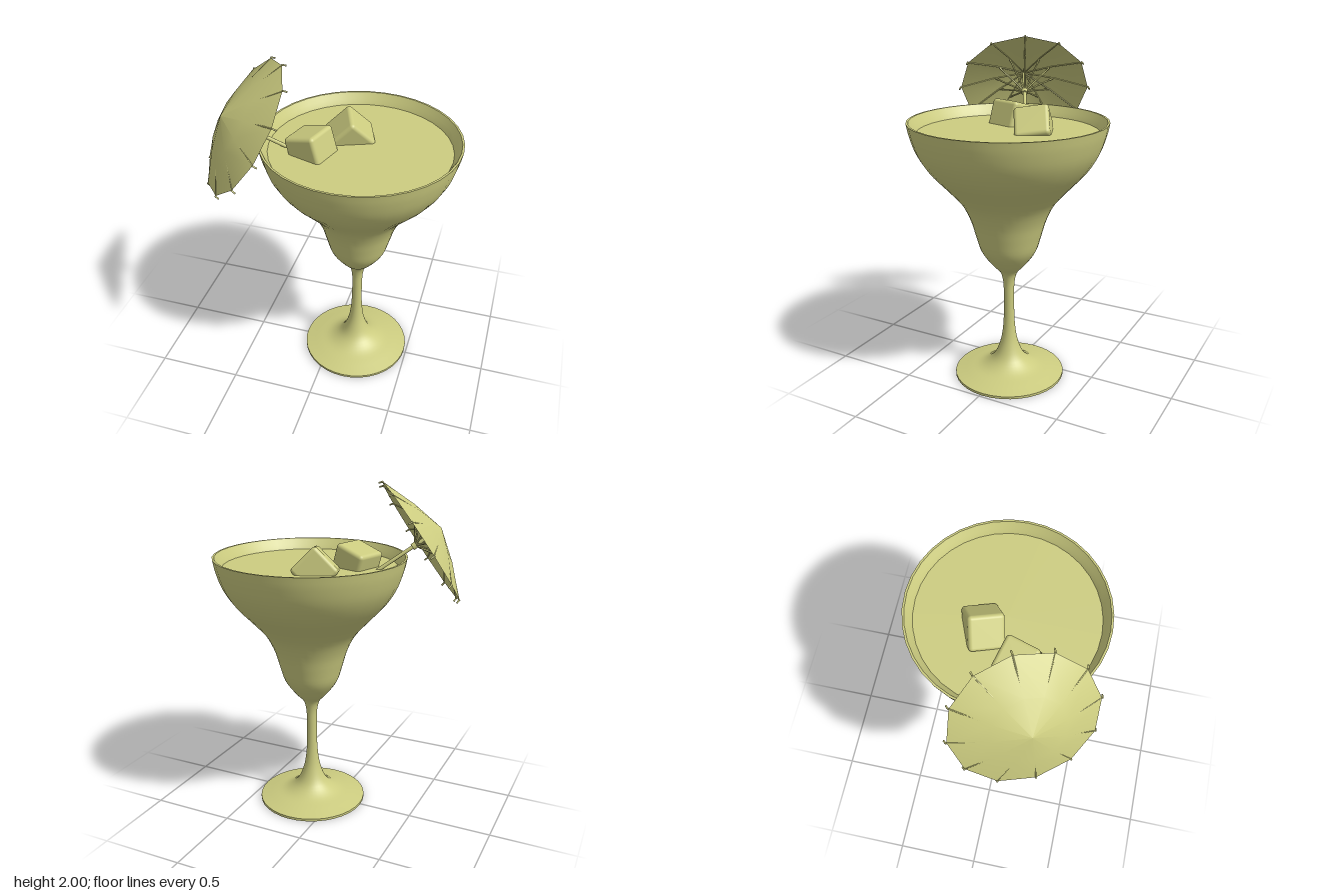
import * as THREE from 'three';
import { RoundedBoxGeometry } from 'three/addons/geometries/RoundedBoxGeometry.js';

const material = new THREE.MeshStandardMaterial({ color: 0xcccc80 });
const thinMaterial = new THREE.MeshStandardMaterial({ color: 0xcccc80, side: THREE.DoubleSide });
const V = (x, y, z) => new THREE.Vector3(x, y, z);

function add(parent, name, geometry, mat = material) {
  const mesh = new THREE.Mesh(geometry, mat);
  mesh.name = name;
  parent.add(mesh);
  return mesh;
}

// Round rod between two points
function rod(parent, name, a, b, radius, sides = 6) {
  const dir = b.clone().sub(a);
  const mesh = add(parent, name, new THREE.CylinderGeometry(radius, radius, dir.length(), sides));
  mesh.position.copy(a).add(b).multiplyScalar(0.5);
  mesh.quaternion.setFromUnitVectors(V(0, 1, 0), dir.normalize());
  return mesh;
}

function smoothLathe(pairs, steps, segments) {
  const curve = new THREE.CatmullRomCurve3(pairs.map(([r, y]) => V(r, y, 0)));
  const points = curve.getPoints(steps).map((p) => new THREE.Vector2(Math.max(p.x, 0), p.y));
  return new THREE.LatheGeometry(points, segments);
}

function buildGlass() {
  const glass = new THREE.Group();
  glass.name = 'glass';
  glass.position.set(0.157, 0, -0.015);

  // Foot, stem and stepped bowl
  add(glass, 'glassOuter', smoothLathe([
    [0.33, 0.015], [0.25, 0.035], [0.16, 0.06], [0.095, 0.11], [0.055, 0.2], [0.037, 0.3],
    [0.031, 0.42], [0.031, 0.52], [0.034, 0.6], [0.05, 0.66], [0.095, 0.71], [0.16, 0.8],
    [0.192, 0.9], [0.222, 1.0], [0.272, 1.1], [0.36, 1.2], [0.452, 1.3], [0.515, 1.4],
    [0.55, 1.5], [0.565, 1.57]], 72, 36));

  // Foot edge and underside
  add(glass, 'footEdge', new THREE.CylinderGeometry(0.33, 0.33, 0.015, 36)).position.y = 0.0075;

  // Rim and inner wall
  add(glass, 'rim', new THREE.RingGeometry(0.553, 0.565, 36).rotateX(-Math.PI / 2)).position.y = 1.57;
  add(glass, 'glassInner', smoothLathe([
    [0.553, 1.57], [0.512, 1.5], [0.475, 1.4], [0.41, 1.3], [0.31, 1.2], [0.22, 1.1],
    [0.17, 1.0], [0.14, 0.9], [0.1, 0.8], [0, 0.74]], 36, 36), thinMaterial);

  // Drink surface
  add(glass, 'drink', new THREE.CircleGeometry(0.515, 36).rotateX(-Math.PI / 2)).position.y = 1.505;
  return glass;
}

function buildUmbrella() {
  const umbrella = new THREE.Group();
  umbrella.name = 'umbrella';
  const ribs = 12, R = 0.4, H = 0.14;
  const profile = [[0, H], [0.2, 0.083], [R, 0]];

  // Canopy
  const canopy = new THREE.LatheGeometry(profile.map(([r, y]) => new THREE.Vector2(r, y)).reverse(), ribs);
  add(umbrella, 'canopy', canopy, thinMaterial);

  // Ribs with bent tips, and struts from the runner
  for (let i = 0; i < ribs; i++) {
    const a = (i / ribs) * Math.PI * 2;
    const at = (r, y) => V(r * Math.sin(a), y, r * Math.cos(a));
    rod(umbrella, 'innerRib', at(0.01, H - 0.01), at(0.2, 0.078), 0.004);
    rod(umbrella, 'outerRib', at(0.2, 0.078), at(R + 0.004, -0.003), 0.004);
    rod(umbrella, 'ribTip', at(R + 0.002, 0.003), at(R + 0.01, -0.022), 0.005);
    rod(umbrella, 'strut', at(0.012, -0.03), at(0.18, 0.078), 0.0055);
  }

  // Runner and stick
  rod(umbrella, 'runner', V(0, -0.055, 0), V(0, -0.015, 0), 0.02, 12);
  rod(umbrella, 'stick', V(0, H - 0.005, 0), V(0, -0.4, 0), 0.011, 10);

  // Lean outward over the rim
  const up = V(-0.73, 0.555, 0.4).normalize();
  const side = V(up.z, 0, -up.x).normalize();
  const front = side.clone().cross(up);
  umbrella.quaternion.setFromRotationMatrix(new THREE.Matrix4().makeBasis(side, up, front));
  umbrella.position.set(-0.44, 1.66, 0.195);
  return umbrella;
}

export function createModel() {
  const model = new THREE.Group();
  model.name = 'cocktail';
  model.add(buildGlass(), buildUmbrella());

  // Floating ice: position, then pitch, yaw and roll
  const ice = [
    [V(0.065, 1.515, -0.13), 0.15, 0.38, Math.PI / 4],
    [V(-0.09, 1.525, 0.09), 0, -0.3, 0.3],
  ];
  for (const [position, pitch, yaw, roll] of ice) {
    const cube = add(model, 'iceCube', new RoundedBoxGeometry(0.2, 0.2, 0.2, 3, 0.022));
    cube.position.copy(position);
    cube.rotation.set(pitch, yaw, roll, 'YXZ');
  }
  return model;
}
